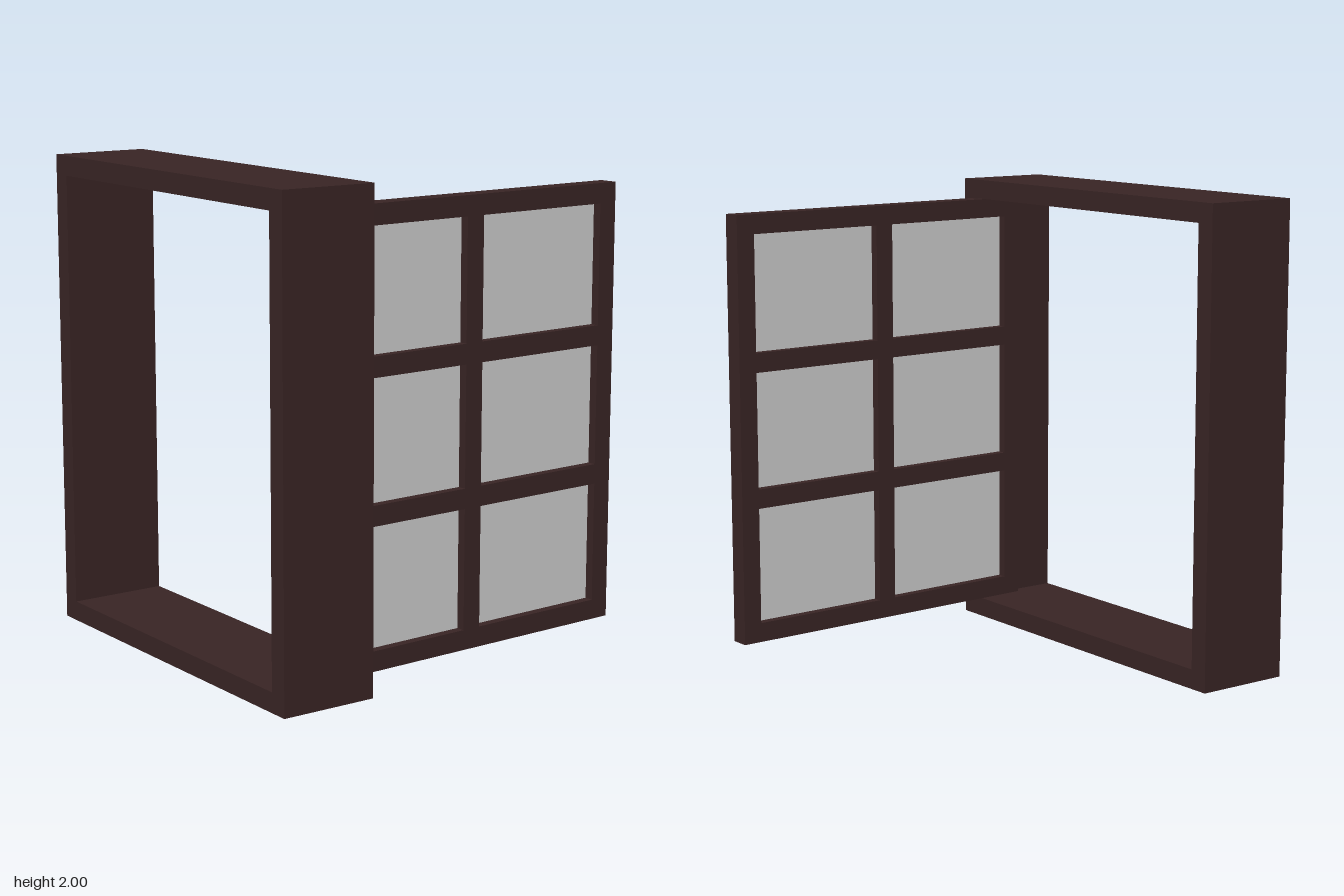
import * as THREE from 'three';

const T = 0.083; // bar thickness

const rect = (Kind, x0, y0, x1, y1) => new Kind([
  new THREE.Vector2(x0, y0), new THREE.Vector2(x1, y0),
  new THREE.Vector2(x1, y1), new THREE.Vector2(x0, y1),
]);

// Rectangular panel with rectangular openings, centred on its depth
function pierced(outer, openings, depth) {
  const shape = rect(THREE.Shape, ...outer);
  for (const o of openings) shape.holes.push(rect(THREE.Path, ...o));
  return new THREE.ExtrudeGeometry(shape, { depth, bevelEnabled: false })
    .translate(0, 0, -depth / 2);
}

export function createModel() {
  const wood = new THREE.MeshStandardMaterial({ color: 0x382424 });
  wood.name = 'darkWood';
  const glass = new THREE.MeshStandardMaterial({ color: 0xcccccc });
  glass.name = 'paleGlass';

  const model = new THREE.Group();
  model.name = 'openWindow';
  const add = (parent, geometry, material, name) => {
    const mesh = new THREE.Mesh(geometry, material);
    mesh.name = name;
    parent.add(mesh);
    return mesh;
  };

  // Deep outer frame, turned so its opening faces sideways
  const frame = add(model, pierced(
    [-0.835, 0, 0.835, 2], [[-0.835 + T, T, 0.835 - T, 2 - T]], 0.416,
  ), wood, 'outerFrame');
  frame.rotation.y = Math.PI / 2;
  frame.position.x = -0.647;

  // Sash swung open, with two columns and three rows of panes
  const sash = new THREE.Group();
  sash.name = 'openSash';
  sash.position.set(0.102, 1, 0.722);
  sash.rotation.y = 0.038;
  model.add(sash);

  const W = 1.5, H = 1.83;
  const paneW = (W - 3 * T) / 2, paneH = (H - 4 * T) / 3;
  const panes = [];
  for (let col = 0; col < 2; col++) {
    for (let row = 0; row < 3; row++) {
      const x = -W / 2 + T + col * (paneW + T);
      const y = -H / 2 + T + row * (paneH + T);
      panes.push([x, y, x + paneW, y + paneH]);
    }
  }
  add(sash, pierced([-W / 2, -H / 2, W / 2, H / 2], panes, T), wood, 'sashBars');

  // Thin glass set midway in the bars
  for (const [x0, y0, x1, y1] of panes) {
    const pane = add(sash, new THREE.BoxGeometry(paneW, paneH, 0.008), glass, 'glassPane');
    pane.position.set((x0 + x1) / 2, (y0 + y1) / 2, 0);
  }
  return model;
}
